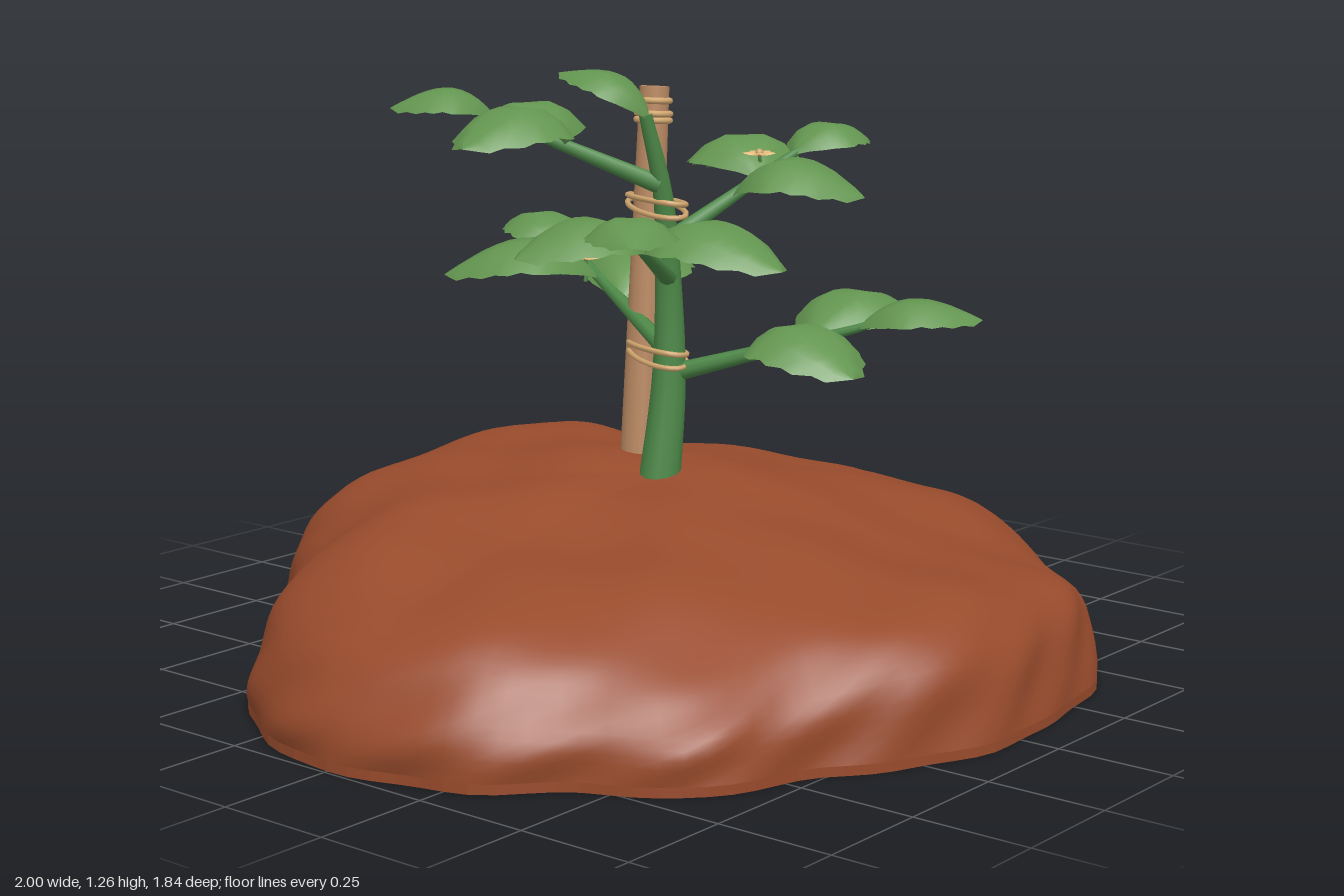
import * as THREE from 'three';

const V = (x, y, z) => new THREE.Vector3(x, y, z);
const UP = V(0, 1, 0);

const mat = (name, color, side = THREE.FrontSide) => {
  const m = new THREE.MeshStandardMaterial({ color, side });
  m.name = name;
  return m;
};

function add(parent, name, geometry, material) {
  const mesh = new THREE.Mesh(geometry, material);
  mesh.name = name;
  parent.add(mesh);
  return mesh;
}

function indexed(positions, index) {
  const g = new THREE.BufferGeometry();
  g.setAttribute('position', new THREE.Float32BufferAttribute(positions, 3));
  g.setIndex(index);
  g.computeVertexNormals();
  return g;
}

// Tube whose radius runs from r0 to r1
function taperedTube(points, r0, r1, segments = 14, sides = 12) {
  const curve = new THREE.CatmullRomCurve3(points);
  const g = new THREE.TubeGeometry(curve, segments, 1, sides);
  const p = g.attributes.position, v = V(0, 0, 0);
  for (let i = 0; i < p.count; i++) {
    const k = Math.floor(i / (sides + 1)) / segments;
    const c = curve.getPointAt(k);
    v.fromBufferAttribute(p, i).sub(c).multiplyScalar(r0 + (r1 - r0) * k).add(c);
    p.setXYZ(i, v.x, v.y, v.z);
  }
  return g;
}

// Irregular outline of the mound, one radius every 15 degrees from +x towards +z
const outline = [1, 0.97, 0.94, 0.92, 0.94, 0.92, 0.92, 0.91, 0.87, 0.93, 0.92, 0.98,
  1, 0.97, 0.89, 0.81, 0.85, 0.91, 0.92, 0.93, 0.92, 0.83, 0.89, 0.96];

const lumps = (x, z) =>
  0.011 * Math.sin(7 * x + 3 * z + 1) + 0.011 * Math.sin(9 * z - 5 * x + 2) +
  0.008 * Math.sin(15 * x + 6 * z) * Math.cos(13 * z - 4 * x);

function soilHeight(x, z, t, s) {
  const r = Math.hypot(x, z);
  const p = s > 0 ? 6 + 8 * s ** 3 : 6 + 2 * s;
  const edge = Math.sqrt(Math.max(0, 1 - t ** p));
  const top = 0.42 - 0.15 * t + 0.17 * Math.max(0, -z) + lumps(x, z)
    - 0.045 * Math.exp(-(((z - 0.6) / 0.22) ** 2));
  return 0.02 + edge * (top - 0.02 - 0.03 * Math.exp(-((r / 0.13) ** 2)));
}

function moundGeometries() {
  const N = 120, rings = 34;
  const rim = new THREE.CatmullRomCurve3(outline.map((r, i) => {
    const a = (i / outline.length) * Math.PI * 2;
    return V(r * Math.cos(a), 0, r * Math.sin(a));
  }), true);
  const pos = [0, soilHeight(0, 0, 0, 0), 0], idx = [], base = [0, 0, 0], baseIdx = [];
  for (let i = 1; i <= rings; i++) {
    const t = Math.sin((i / rings) * Math.PI / 2);
    for (let j = 0; j < N; j++) {
      const e = rim.getPoint(j / N), a = (j / N) * Math.PI * 2;
      // clods bulge from the wall and shift around it with height
      const h = Math.sqrt(1 - t * t) * 9;
      const clods = Math.sin(9 * a + h) * Math.sin(7 * a - h + 2) + 0.5 * Math.sin(23 * a + 2 * h);
      const k = t * (1 + 0.011 * t ** 8 * (clods - 0.6));
      const x = e.x * k, z = e.z * k;
      pos.push(x, soilHeight(x, z, t, e.z / e.length()), z);
      const n = (j + 1) % N, o = 1 + (i - 1) * N, q = o - N;
      if (i === 1) idx.push(0, o + n, o + j);
      else idx.push(q + j, o + n, o + j, q + j, q + n, o + n);
    }
  }
  // underside and short rim
  const last = pos.slice(-N * 3);
  for (let j = 0; j < N; j++) base.push(last[j * 3], 0, last[j * 3 + 2]);
  base.push(...last);
  for (let j = 0; j < N; j++) {
    const a = 1 + j, b = 1 + (j + 1) % N;
    baseIdx.push(0, a, b, a, a + N, b + N, a, b + N, b);
  }
  return [indexed(pos, idx), indexed(base, baseIdx).toNonIndexed()];
}

// Leaf half-width along its length, with a slightly toothed margin
const leafWidth = [0.04, 0.34, 0.6, 0.78, 0.93, 1, 0.93, 0.96, 0.82, 0.76, 0.52, 0.4, 0];

function leafGeometry(base, tip, half, arch) {
  const d = tip.clone().sub(base);
  const side = d.clone().cross(UP).normalize();
  const up = side.clone().cross(d).normalize();
  const pos = [], idx = [], nu = leafWidth.length - 1, nv = 6;
  for (let i = 0; i <= nu; i++) {
    const u = i / nu, w = half * leafWidth[i];
    for (let j = 0; j <= nv; j++) {
      const v = (j / nv) * 2 - 1;
      const lift = arch * Math.sin(Math.PI * u ** 0.85) + w * (0.25 * Math.abs(v) - 0.7 * v * v);
      const p = base.clone().addScaledVector(d, u).addScaledVector(side, v * w).addScaledVector(up, lift);
      pos.push(p.x, p.y, p.z);
      if (i < nu && j < nv) {
        const a = i * (nv + 1) + j, b = a + nv + 1;
        idx.push(a, a + 1, b, a + 1, b + 1, b);
      }
    }
  }
  return indexed(pos, idx);
}

// Each branch: start, end, tip of end leaf, then side leaves as [place on branch, tip]
const branches = [
  [V(0.03, 0.9, 0), V(0.36, 1.06, 0.08), V(0.58, 1.08, 0.11),
    [0.72, V(0.46, 1.01, -0.18)], [0.5, V(0.29, 0.99, 0.32)]],
  [V(0.04, 0.62, 0.02), V(0.2, 0.73, 0.37), V(0.35, 0.75, 0.58),
    [0.45, V(0.03, 0.66, 0.48)], [0.72, V(0.51, 0.71, 0.28)]],
  [V(0.03, 0.82, 0), V(-0.28, 0.95, 0.16), V(-0.48, 0.97, 0.32),
    [0.55, V(-0.43, 0.91, -0.02)], [0.62, V(-0.17, 0.9, 0.45)]],
  [V(0, 1.02, 0), V(-0.2, 1.16, -0.28), V(-0.35, 1.18, -0.44),
    [0.6, V(-0.43, 1.12, -0.16)], [0.6, V(-0.04, 1.1, -0.43)]],
  [V(0.03, 0.66, 0), V(0.16, 0.83, -0.38), V(0.23, 0.87, -0.62),
    [0.5, V(0.42, 0.79, -0.35)], [0.72, V(-0.1, 0.79, -0.53)]],
];

export function createModel() {
  const root = new THREE.Group();
  root.name = 'stakedPlant';
  const soil = mat('soil brown', 0x984b2c);
  const green = mat('stem green', 0x4c8747);
  const leafMat = mat('leaf green', 0x639550, THREE.DoubleSide);
  const wood = mat('stake wood', 0xb98962);
  const twine = mat('twine tan', 0xd2a76f);
  const cream = mat('petal cream', 0xe6bb7c, THREE.DoubleSide);

  // Soil
  const [top, bottom] = moundGeometries();
  bottom.computeVertexNormals();
  add(root, 'soilMound', top, soil);
  add(root, 'soilBase', bottom, soil);

  // Main stem
  add(root, 'stem', taperedTube([V(-0.005, 0.36, 0), V(0.03, 0.6, 0), V(0.035, 0.8, -0.005),
    V(0.01, 1, 0), V(-0.035, 1.17, -0.01)], 0.046, 0.014, 24), green);

  // Stake with raised binding near its top
  const foot = V(0.075, 0.34, -0.125), head = V(0.135, 1.21, -0.125);
  const stake = new THREE.Group();
  stake.name = 'stake';
  stake.position.copy(foot);
  stake.quaternion.setFromUnitVectors(UP, head.clone().sub(foot).normalize());
  root.add(stake);
  const len = foot.distanceTo(head);
  add(stake, 'stakePole', new THREE.CylinderGeometry(0.032, 0.041, len, 16), wood).position.y = len / 2;
  for (const [y, r] of [[len - 0.072, 0.036], [len - 0.058, 0.036], [len - 0.03, 0.034]]) {
    const ring = add(stake, 'stakeRing', new THREE.TorusGeometry(r, 0.007, 8, 20), twine);
    ring.rotation.x = Math.PI / 2;
    ring.position.y = y;
  }

  // Twine loops tying the stem to the stake
  for (const [x, y] of [[0.065, 0.96], [0.068, 0.64]]) {
    for (let k = 0; k < 2; k++) {
      const pts = [];
      for (let i = 0; i < 16; i++) {
        const a = (i / 16) * Math.PI * 2;
        const along = 0.115 * Math.cos(a), across = 0.05 * Math.sin(a);
        pts.push(V(x + along * 0.5 + across * 0.87,
          y + k * 0.018 + 0.008 * Math.cos(a + k * 2), -0.062 - along * 0.87 + across * 0.5));
      }
      add(root, 'twineLoop', new THREE.TubeGeometry(new THREE.CatmullRomCurve3(pts, true), 40, 0.006, 6, true), twine);
    }
  }

  // Branches with three leaves each
  for (const [start, end, tip, ...sides] of branches) {
    const branch = new THREE.Group();
    branch.name = 'branch';
    root.add(branch);
    add(branch, 'branchStem', taperedTube([start, start.clone().lerp(end, 0.5), end,
      end.clone().lerp(tip, 0.15).add(V(0, 0.01, 0))], 0.02, 0.008, 10, 8), green);
    add(branch, 'endLeaf', leafGeometry(end, tip, 0.095, 0.05), leafMat);
    for (const [t, sideTip] of sides)
      add(branch, 'sideLeaf', leafGeometry(start.clone().lerp(end, t), sideTip, 0.128, 0.08), leafMat);
  }
  add(root, 'topLeaf', leafGeometry(V(-0.034, 1.16, 0), V(-0.09, 1.25, -0.2), 0.08, 0.05), leafMat);

  // Five-petalled flowers
  for (const p of [V(0.29, 1.06, 0.04), V(0.12, 0.82, -0.31)]) {
    const flower = new THREE.Group();
    flower.name = 'flower';
    flower.position.copy(p);
    root.add(flower);
    for (let i = 0; i < 5; i++) {
      const a = (i / 5) * Math.PI * 2, c = Math.cos(a), s = Math.sin(a);
      add(flower, 'petal', leafGeometry(V(0, 0, 0), V(0.038 * c, 0.006, 0.038 * s), 0.013, 0.004), cream);
    }
    add(flower, 'flowerCentre', new THREE.SphereGeometry(0.009, 10, 8), twine).position.y = 0.005;
    add(flower, 'flowerStalk', taperedTube([V(0, -0.05, 0), V(0.004, -0.025, 0), V(0, 0, 0)], 0.005, 0.004, 4, 6), green);
  }
  return root;
}
